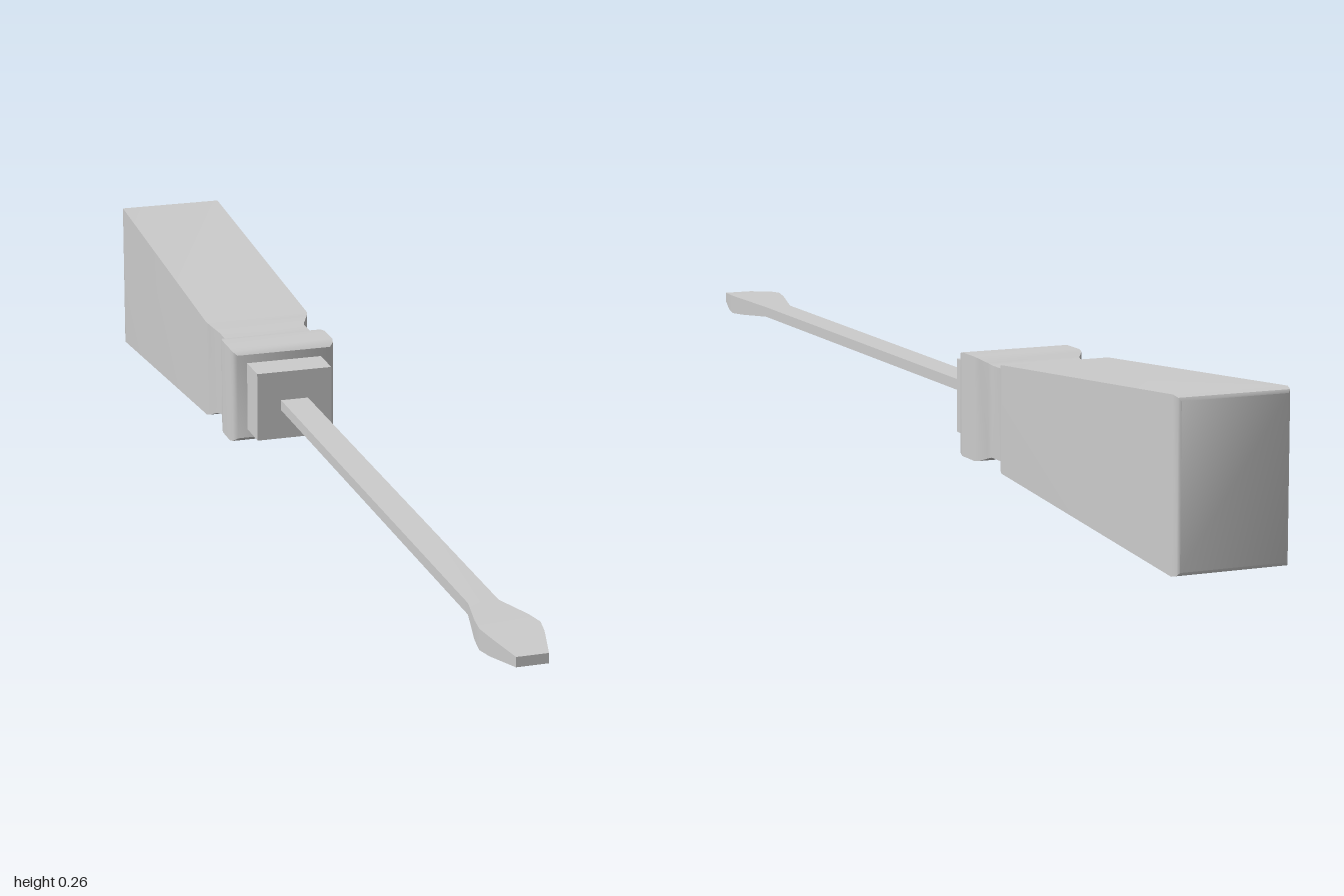
import * as THREE from 'three';
import { toCreasedNormals } from 'three/addons/utils/BufferGeometryUtils.js';

const AXIS_Y = 0.134;
const CORNERS = [[1, -1], [1, 1], [-1, 1], [-1, -1]];

// Loft of rectangular sections [z, halfWidth, halfHeight], listed back to front, with closed ends.
function loft(name, sections, crease) {
  const positions = [];
  const index = [];
  for (const [z, w, h] of sections) {
    for (const [sx, sy] of CORNERS) positions.push(sx * w, sy * h, z);
  }
  for (let i = 0; i < sections.length - 1; i++) {
    for (let k = 0; k < 4; k++) {
      const a = i * 4 + k, b = i * 4 + (k + 1) % 4;
      index.push(a, b, b + 4, a, b + 4, a + 4);
    }
  }
  const f = (sections.length - 1) * 4;
  index.push(2, 1, 0, 3, 2, 0, f, f + 1, f + 2, f, f + 2, f + 3);

  const geometry = new THREE.BufferGeometry();
  geometry.setAttribute('position', new THREE.Float32BufferAttribute(positions, 3));
  geometry.setIndex(index);
  const mesh = new THREE.Mesh(
    toCreasedNormals(geometry, crease),
    new THREE.MeshStandardMaterial({ color: 0xcccccc })
  );
  mesh.name = name;
  mesh.position.y = AXIS_Y;
  return mesh;
}

export function createModel() {
  const group = new THREE.Group();
  group.name = 'screwdriver';

  // Tapered grip with rounded butt, waisted neck and front bead
  group.add(loft('handle', [
    [-1.0, 0.086, 0.124],
    [-0.997, 0.09, 0.129],
    [-0.985, 0.0925, 0.132],
    [-0.405, 0.0925, 0.086],
    [-0.395, 0.0895, 0.0835],
    [-0.38, 0.08, 0.076],
    [-0.37, 0.077, 0.074],
    [-0.335, 0.077, 0.074],
    [-0.327, 0.08, 0.0765],
    [-0.315, 0.0895, 0.082],
    [-0.3, 0.0925, 0.084],
    [-0.255, 0.0925, 0.084],
    [-0.243, 0.09, 0.081],
    [-0.237, 0.083, 0.075],
  ], 0.75));

  // Square collar where the shaft enters the handle
  group.add(loft('collar', [
    [-0.25, 0.066, 0.06],
    [-0.175, 0.066, 0.06],
  ], 0.5));

  // Flat shaft flaring into the blade tip
  group.add(loft('shaftAndBlade', [
    [-0.19, 0.024, 0.009],
    [0.79, 0.024, 0.009],
    [0.87, 0.042, 0.015],
    [0.905, 0.047, 0.0165],
    [0.935, 0.042, 0.015],
    [1.0, 0.025, 0.008],
  ], 0.5));

  return group;
}
